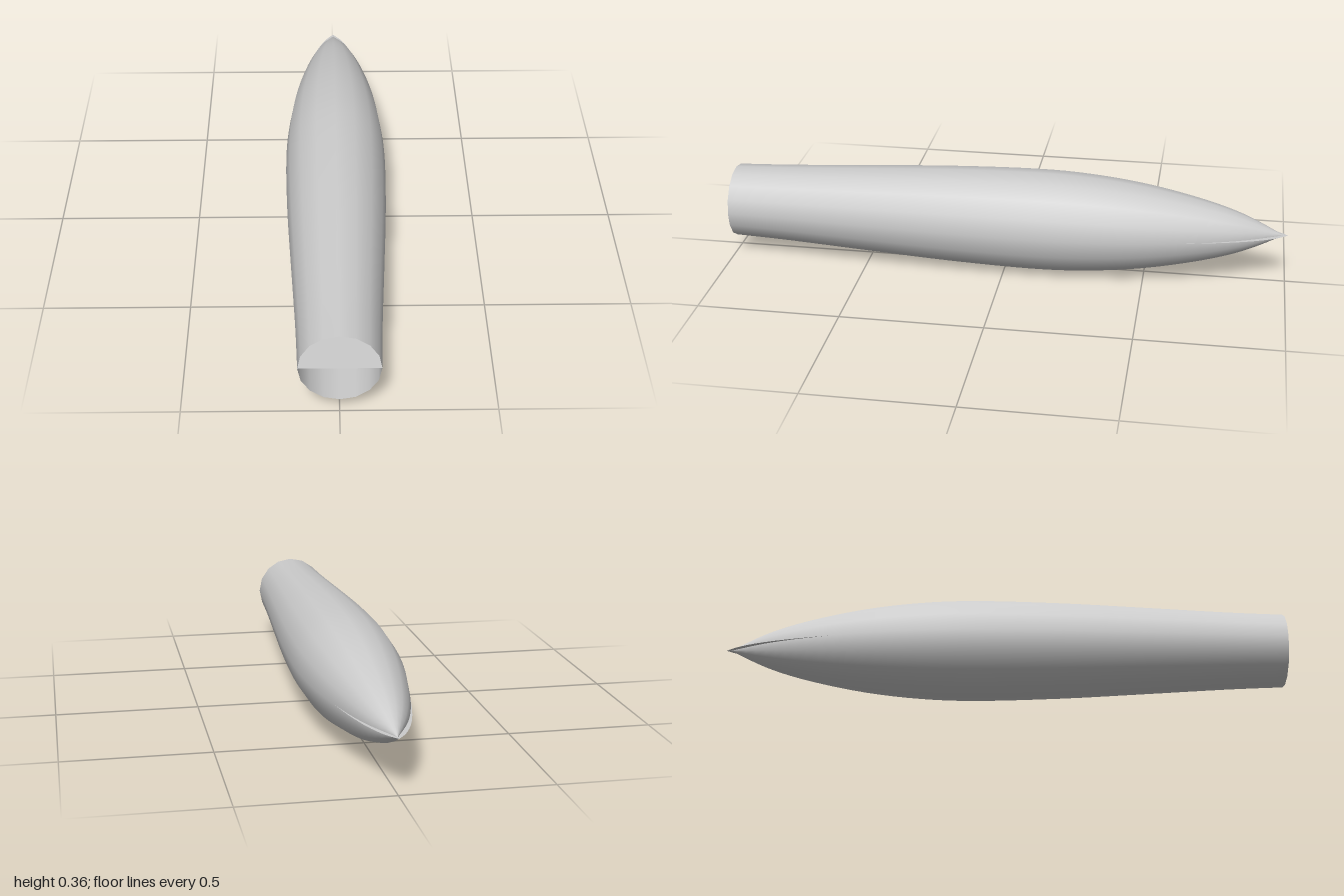
import * as THREE from 'three';

const AXIS_Y = 0.182;

// Smooth curve through [z, radius] pairs, sampled as points (radius, -z)
function sampleProfile(pairs, count) {
  const points = pairs.map(([z, r]) => new THREE.Vector2(r, -z));
  return new THREE.SplineCurve(points).getPoints(count);
}

export function createModel() {
  const group = new THREE.Group();
  const material = new THREE.MeshStandardMaterial({ color: 0xcccccc, side: THREE.DoubleSide });

  // Hollow sixteen-sided hull, open at the front and pointed at the back
  const front = [[1, 0.131], [0.8, 0.139], [0.5, 0.156], [0.2, 0.172], [-0.1, 0.18], [-0.3, 0.173], [-0.5, 0.15]];
  const hullProfile = sampleProfile([...front, [-0.7, 0.109], [-0.85, 0.063], [-0.985, 0]], 36);
  hullProfile[36].x = 0;
  const hullGeometry = new THREE.LatheGeometry(hullProfile, 16);
  hullGeometry.rotateX(-Math.PI / 2);
  const hull = new THREE.Mesh(hullGeometry, material);
  hull.name = 'hull';
  hull.position.y = AXIS_Y;
  group.add(hull);

  // Flat horizontal web inside the hull, its edges showing as thin fins at the tail
  const inner = front.map(([z, r]) => [z, r - (z < 1 ? 0.003 : 0)]);
  const webProfile = sampleProfile([...inner, [-0.7, 0.112], [-0.85, 0.075], [-0.95, 0.035], [-1, 0]], 36);
  const mirrored = webProfile.slice(0, -1).reverse().map((p) => new THREE.Vector2(-p.x, p.y));
  const webGeometry = new THREE.ShapeGeometry(new THREE.Shape([...webProfile, ...mirrored]));
  webGeometry.rotateX(-Math.PI / 2);
  const web = new THREE.Mesh(webGeometry, material);
  web.name = 'centreWeb';
  web.position.y = AXIS_Y;
  group.add(web);

  return group;
}
